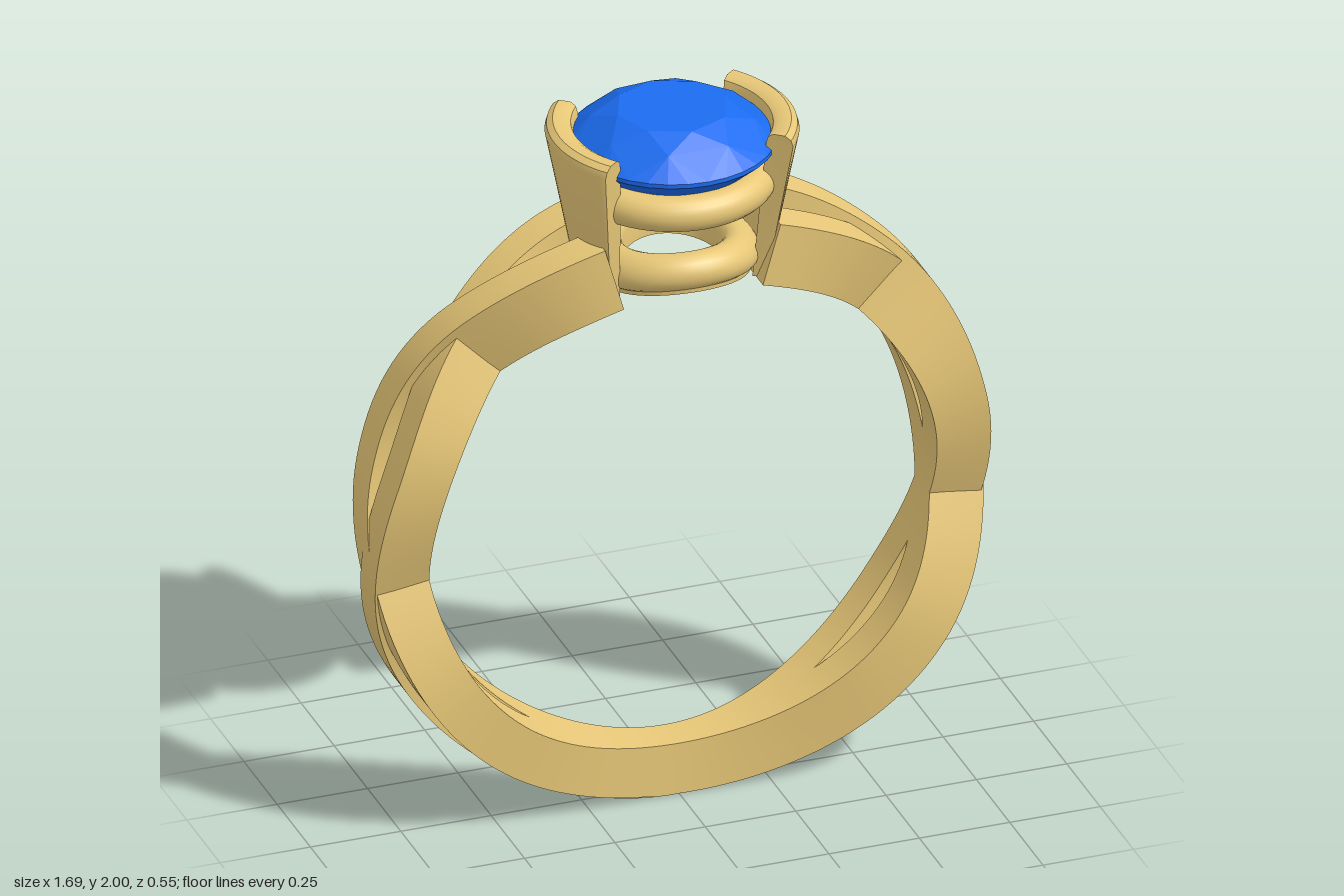
import * as THREE from 'three';
import { toCreasedNormals } from 'three/addons/utils/BufferGeometryUtils.js';
import { ConvexGeometry } from 'three/addons/geometries/ConvexGeometry.js';

const RAD = Math.PI / 180;
const CENTRE_Y = 0.848;
const gold = new THREE.MeshStandardMaterial({ color: 0xe8c878 });
const blue = new THREE.MeshStandardMaterial({ color: 0x1b6cf0 });

function mesh(name, geometry, material = gold) {
  const m = new THREE.Mesh(geometry, material);
  m.name = name;
  return m;
}

// Solid swept through convex cross-sections; section(t) returns [x, y, z] corners
function sweep(section, steps) {
  const pos = [], idx = [];
  let n = 0;
  for (let i = 0; i <= steps; i++) {
    const s = section(i / steps);
    n = s.length;
    s.forEach(p => pos.push(...p));
  }
  for (let i = 0; i < steps; i++) {
    for (let k = 0; k < n; k++) {
      const a = i * n + k, b = i * n + (k + 1) % n;
      idx.push(a, b, b + n, a, b + n, a + n);
    }
  }
  const e = steps * n;
  for (let k = 1; k < n - 1; k++) idx.push(0, k + 1, k, e, e + k, e + k + 1);
  const g = new THREE.BufferGeometry();
  g.setAttribute('position', new THREE.Float32BufferAttribute(pos, 3));
  g.setIndex(idx);
  return toCreasedNormals(g, 0.6);
}

// Sideways weave of a strand; deg is the angle from the bottom of the band
const WAVE = [[0, 0], [55, 0.08], [110, -0.078], [165, 0.107]];
function weave(deg) {
  const d = Math.min(Math.abs(deg), 164.9);
  const i = Math.floor(d / 55);
  const f = (1 - Math.cos(Math.PI * (d - WAVE[i][0]) / 55)) / 2;
  return WAVE[i][1] + (WAVE[i + 1][1] - WAVE[i][1]) * f;
}

// Rectangular strand, wider toward the shoulders, rising over and under its twin
function strandGeometry() {
  const h = 0.055, inner = 0.697;
  return sweep(t => {
    const deg = -164 + 328 * t, a = deg * RAD, z = weave(deg);
    const outer = 0.845 + 0.012 * Math.sin(2 * a)
      + 0.035 * THREE.MathUtils.smoothstep(Math.abs(deg), 105, 138);
    return [[inner, h], [outer, h], [outer, -h], [inner, -h]].map(([r, dz]) =>
      [r * Math.sin(a), CENTRE_Y - r * Math.cos(a), z + dz]);
  }, 160);
}

// Curved, flaring wall that grips the stone
function clawGeometry() {
  const profile = [[0.331, 1.935], [0.326, 1.953], [0.31, 1.965], [0.278, 1.965],
    [0.263, 1.955], [0.257, 1.935], [0.212, 1.52], [0.25, 1.52]];
  return sweep(t => profile.map(([r, y]) => {
    const a = (2 * t - 1) * 0.68 * (0.78 + 0.22 * (y - 1.52) / 0.445);
    return [r * Math.cos(a), y, r * Math.sin(a)];
  }), 24);
}

// Lower ring: flat below, rounded above, arched to follow the finger hole
function baseRingGeometry() {
  const pts = [new THREE.Vector2(0.13, 1.557), new THREE.Vector2(0.205, 1.557)];
  for (let i = 0; i <= 16; i++) {
    const a = -Math.PI / 2 + 1.5 * Math.PI * i / 16;
    if (a < Math.PI) {
      pts.push(new THREE.Vector2(0.179 + 0.049 * Math.cos(a), 1.61 + 0.049 * Math.sin(a)));
    }
  }
  pts.splice(2, 2);
  pts.push(new THREE.Vector2(0.13, 1.61), new THREE.Vector2(0.13, 1.557));
  const g = new THREE.LatheGeometry(pts, 64);
  const p = g.attributes.position;
  for (let i = 0; i < p.count; i++) {
    p.setY(i, p.getY(i) - p.getX(i) ** 2 / 1.4);
  }
  return toCreasedNormals(g, 0.7);
}

// Round brilliant cut: table, crown, girdle, pavilion and point
function stoneGeometry() {
  const pts = [new THREE.Vector3(0, 1.67, 0)];
  const ring = (n, r, y, turn) => {
    for (let i = 0; i < n; i++) {
      const a = (i + turn) / n * Math.PI * 2;
      pts.push(new THREE.Vector3(r * Math.cos(a), y, r * Math.sin(a)));
    }
  };
  ring(8, 0.15, 2.0, 0);
  ring(8, 0.215, 1.967, 0.5);
  ring(32, 0.273, 1.914, 0);
  ring(32, 0.273, 1.902, 0);
  ring(8, 0.11, 1.757, 0.5);
  return new ConvexGeometry(pts);
}

export function createModel() {
  const model = new THREE.Group();
  model.name = 'ring';

  // Two strands and two claws, each pair related by a half turn
  const strand = strandGeometry(), claw = clawGeometry();
  ['left', 'right'].forEach((side, i) => {
    const half = new THREE.Group();
    half.name = side + 'Half';
    half.rotation.y = i * Math.PI;
    half.add(mesh(side + 'Strand', strand), mesh(side + 'Claw', claw));
    model.add(half);
  });

  // Setting rings
  const upper = mesh('upperSettingRing', new THREE.TorusGeometry(0.227, 0.049, 20, 72));
  upper.rotation.x = Math.PI / 2;
  upper.position.y = 1.806;
  model.add(upper, mesh('lowerSettingRing', baseRingGeometry()));

  // Stone
  model.add(mesh('stone', stoneGeometry(), blue));
  return model;
}
